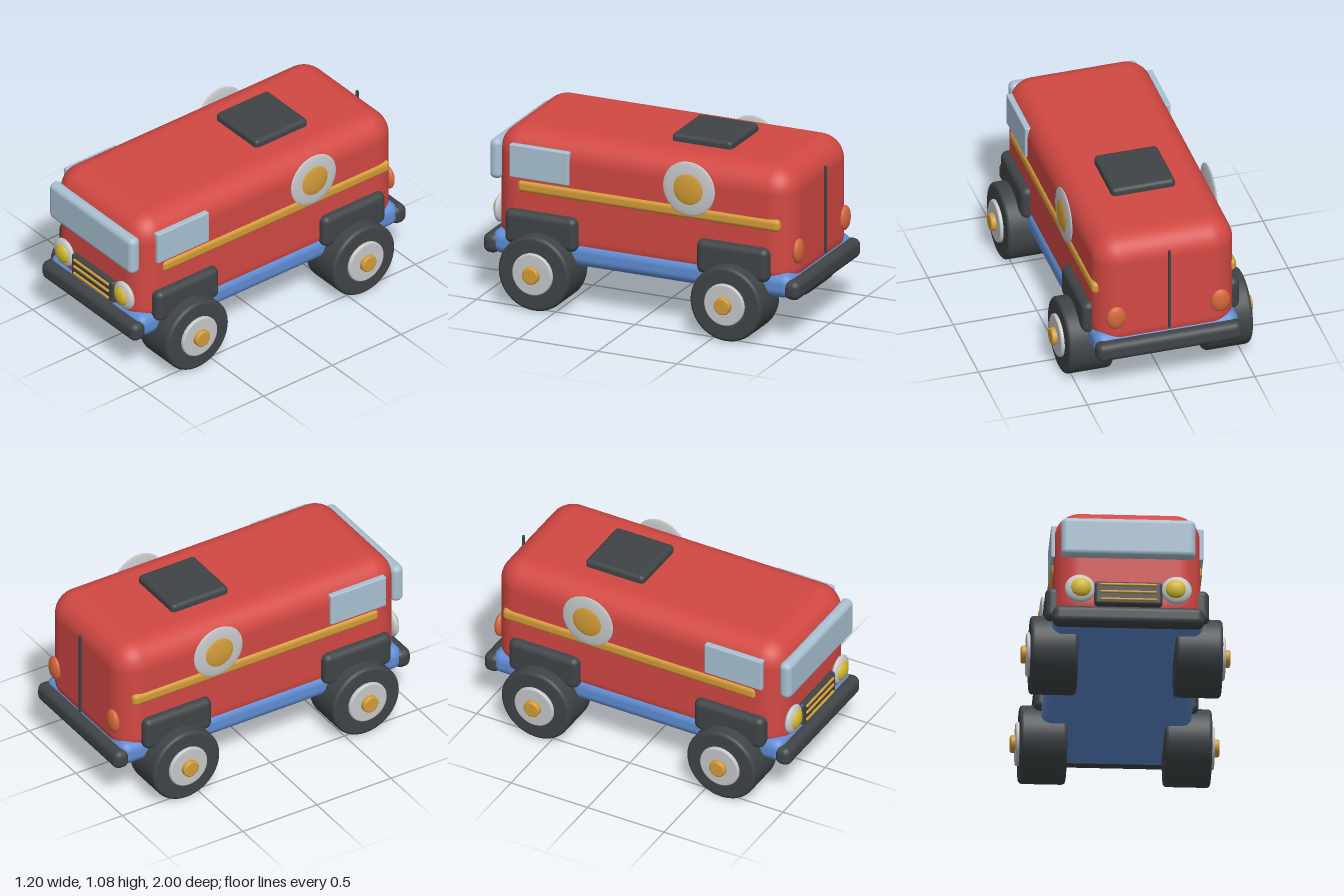
import * as THREE from 'three';
import { RoundedBoxGeometry } from 'three/addons/geometries/RoundedBoxGeometry.js';

const paint = (name, color) => {
  const m = new THREE.MeshStandardMaterial({ color });
  m.name = name;
  return m;
};

export function createModel() {
  const red = paint('red paint', 0xd24843);
  const blue = paint('blue chassis', 0x5f8dd3);
  const dark = paint('dark rubber', 0x3f4447);
  const silver = paint('silver trim', 0xc6c8ca);
  const gold = paint('gold trim', 0xd39c38);
  const glass = paint('pale glass', 0xa9c1d3);
  const yellow = paint('yellow lamp', 0xd6b92e);
  const orange = paint('orange lamp', 0xd4683a);

  const van = new THREE.Group();
  van.name = 'van';

  const add = (name, geometry, material, x = 0, y = 0, z = 0) => {
    const mesh = new THREE.Mesh(geometry, material);
    mesh.name = name;
    mesh.position.set(x, y, z);
    van.add(mesh);
    return mesh;
  };

  // Rounded box given by its lower and upper limits on each axis
  const box = (name, material, [x0, x1], [y0, y1], [z0, z1], radius, segments = 5) =>
    add(name, new RoundedBoxGeometry(x1 - x0, y1 - y0, z1 - z0, segments, radius), material,
      (x0 + x1) / 2, (y0 + y1) / 2, (z0 + z1) / 2);

  // Flattened ball used for lamps and round badges
  const lens = (name, material, [x, y, z], [rx, ry, rz]) =>
    add(name, new THREE.SphereGeometry(1, 40, 24).scale(rx, ry, rz), material, x, y, z);

  // Disc with rounded rims turned about the x axis, from x = 0 outward
  const disc = (name, material, radius, width, bevel, x, y, z, side) => {
    const pts = [new THREE.Vector2(0, 0)];
    for (let i = 0; i <= 5; i++) {
      const a = (i / 5) * Math.PI / 2;
      pts.push(new THREE.Vector2(radius - bevel + bevel * Math.sin(a), bevel - bevel * Math.cos(a)));
    }
    for (let i = 0; i <= 5; i++) {
      const a = (i / 5) * Math.PI / 2;
      pts.push(new THREE.Vector2(radius - bevel + bevel * Math.cos(a), width - bevel + bevel * Math.sin(a)));
    }
    pts.push(new THREE.Vector2(0, width));
    const mesh = add(name, new THREE.LatheGeometry(pts, 48), material, side * x, y, z);
    mesh.rotation.z = -side * Math.PI / 2;
  };

  // Mirrors an x range to the chosen side
  const span = (side, a, b) => (side > 0 ? [a, b] : [-b, -a]);

  // Main shell, chassis and roof hatch
  box('body', red, [-0.42, 0.42], [0.28, 1.03], [-0.945, 0.935], 0.15, 8);
  box('chassis', blue, [-0.43, 0.43], [0.26, 0.41], [-0.95, 0.95], 0.06);
  box('roofHatch', dark, [-0.19, 0.19], [1.0, 1.075], [-0.465, -0.085], 0.025);

  // Bumpers
  box('frontBumper', dark, [-0.435, 0.435], [0.262, 0.38], [0.9, 1.0], 0.042);
  box('rearBumper', dark, [-0.435, 0.435], [0.262, 0.38], [-1.0, -0.9], 0.042);

  // Windscreen and grille
  box('windscreen', glass, [-0.385, 0.385], [0.7, 0.94], [0.905, 0.98], 0.034);
  box('grille', dark, [-0.195, 0.195], [0.397, 0.545], [0.91, 0.965], 0.02);
  for (const y of [0.428, 0.475, 0.52])
    box('grilleBar', gold, [-0.163, 0.163], [y - 0.008, y + 0.008], [0.958, 0.976], 0.007, 3);

  // Rear door seam
  box('rearDoorSeam', dark, [-0.008, 0.008], [0.42, 0.95], [-0.978, -0.962], 0.004, 2);

  for (const side of [-1, 1]) {
    // Side windows, stripes and round badges
    box('sideWindow', glass, span(side, 0.395, 0.436), [0.75, 0.95], [0.45, 0.825], 0.008, 3);
    box('sideStripe', gold, span(side, 0.375, 0.432), [0.663, 0.738], [-0.875, 0.78], 0.026);
    lens('badgeRim', silver, [side * 0.433, 0.85, -0.31], [0.016, 0.164, 0.164]);
    lens('badgeCentre', gold, [side * 0.439, 0.85, -0.31], [0.019, 0.1, 0.1]);

    // Lamps
    lens('headlampRim', silver, [side * 0.277, 0.5, 0.945], [0.087, 0.087, 0.03]);
    lens('headlamp', yellow, [side * 0.272, 0.5, 0.957], [0.061, 0.061, 0.033]);
    lens('tailLamp', orange, [side * 0.312, 0.53, -0.945], [0.057, 0.074, 0.028]);

    // Wheels under their fenders
    for (const z of [0.62, -0.592]) {
      box('fender', dark, span(side, 0.37, 0.47), [0.355, 0.56], [z - 0.227, z + 0.227], 0.04);
      disc('tyre', dark, 0.225, 0.27, 0.022, 0.28, 0.225, z, side);
      disc('wheelDisc', silver, 0.126, 0.04, 0.01, 0.53, 0.228, z, side);
      disc('wheelHub', gold, 0.051, 0.06, 0.01, 0.54, 0.228, z, side);
    }
  }
  return van;
}
